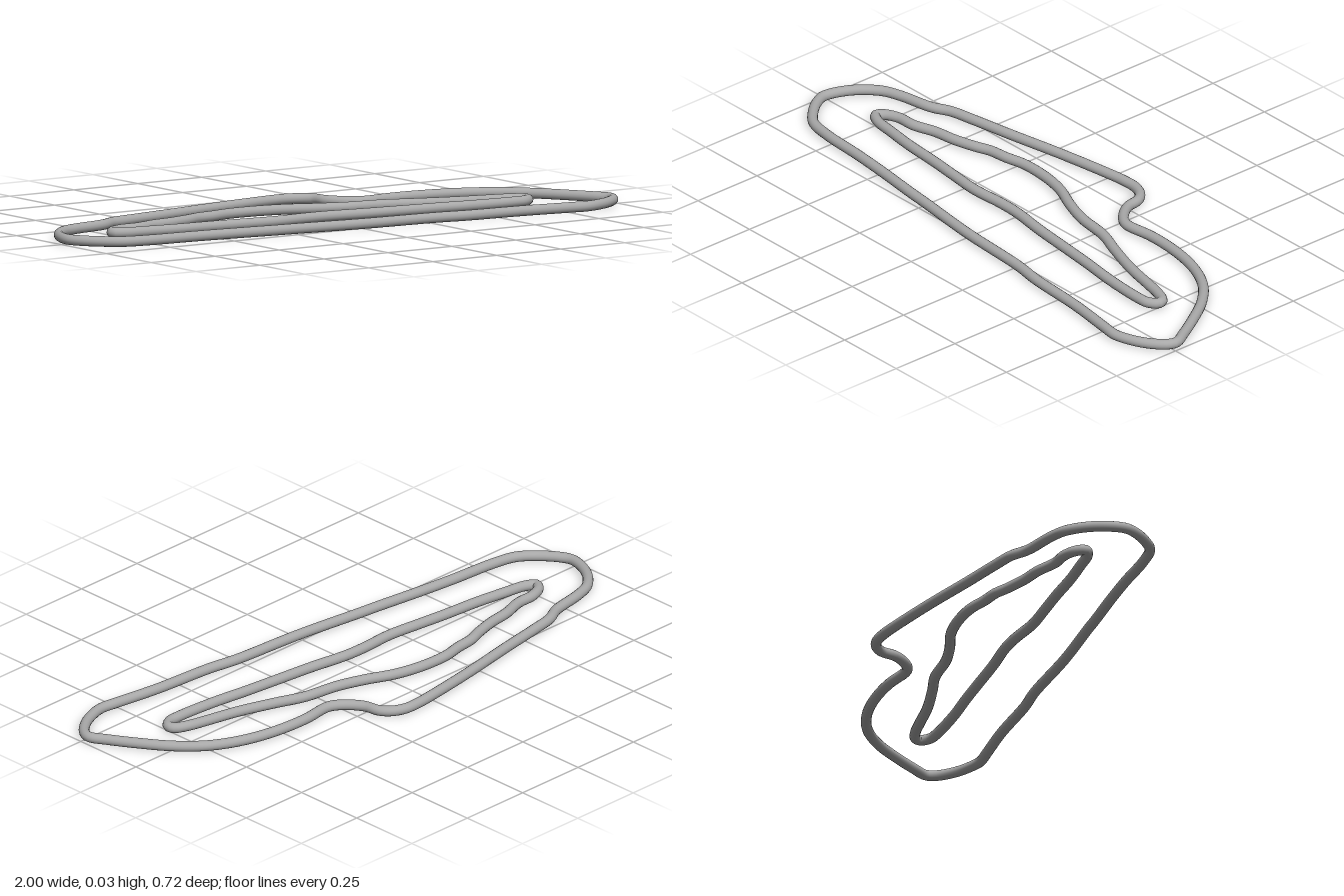
import * as THREE from 'three';

const RADIUS = 0.017;

// Centre lines as [x, z], clockwise seen from above, starting at the left end
const OUTER = [
  [-0.983, 0.01], [-0.953, -0.079], [-0.888, -0.148], [-0.823, -0.173], [-0.70, -0.198], [-0.64, -0.227],
  [-0.56, -0.243], [-0.40, -0.27], [-0.20, -0.307], [0, -0.337], [0.065, -0.344], [0.125, -0.343],
  [0.168, -0.325], [0.195, -0.293], [0.205, -0.243], [0.232, -0.201], [0.27, -0.168], [0.30, -0.159],
  [0.40, -0.169], [0.51, -0.164], [0.615, -0.144], [0.70, -0.112], [0.77, -0.069], [0.84, 0.001],
  [0.905, 0.095], [0.953, 0.175], [0.982, 0.232], [0.97, 0.264], [0.925, 0.304], [0.873, 0.33],
  [0.815, 0.345], [0.75, 0.337], [0.59, 0.314], [0.375, 0.297], [0.27, 0.28], [0, 0.261],
  [-0.24, 0.231], [-0.32, 0.222], [-0.48, 0.201], [-0.62, 0.186], [-0.78, 0.174], [-0.868, 0.155],
  [-0.922, 0.112], [-0.967, 0.055],
];

const INNER = [
  [-0.778, -0.029], [-0.762, -0.054], [-0.715, -0.074], [-0.65, -0.077], [-0.57, -0.101], [-0.494, -0.112],
  [-0.414, -0.133], [-0.36, -0.152], [-0.296, -0.16], [-0.227, -0.174], [-0.163, -0.175], [-0.088, -0.167],
  [-0.013, -0.148], [0.072, -0.111], [0.168, -0.079], [0.296, -0.058], [0.393, -0.022], [0.52, 0.02],
  [0.638, 0.047], [0.702, 0.063], [0.745, 0.084], [0.75, 0.104], [0.724, 0.126], [0.68, 0.13],
  [0.537, 0.121], [0.403, 0.103], [0.27, 0.088], [0.136, 0.073], [0.003, 0.053], [-0.077, 0.05],
  [-0.2, 0.055], [-0.318, 0.043], [-0.425, 0.031], [-0.558, 0.02], [-0.665, 0.005], [-0.745, -0.008],
];

// Closed round tube lying on the ground along a smooth loop
function makeLoop(name, points, material) {
  const curve = new THREE.CatmullRomCurve3(
    points.map(([x, z]) => new THREE.Vector3(x, RADIUS, z)), true, 'centripetal');
  const mesh = new THREE.Mesh(new THREE.TubeGeometry(curve, 320, RADIUS, 16, true), material);
  mesh.name = name;
  return mesh;
}

export function createModel() {
  const grey = new THREE.MeshStandardMaterial({ color: 0xa8a8a8 });
  grey.name = 'grey';

  const model = new THREE.Group();
  model.name = 'trackOutline';
  model.add(makeLoop('outerLoop', OUTER, grey), makeLoop('innerLoop', INNER, grey));
  return model;
}
